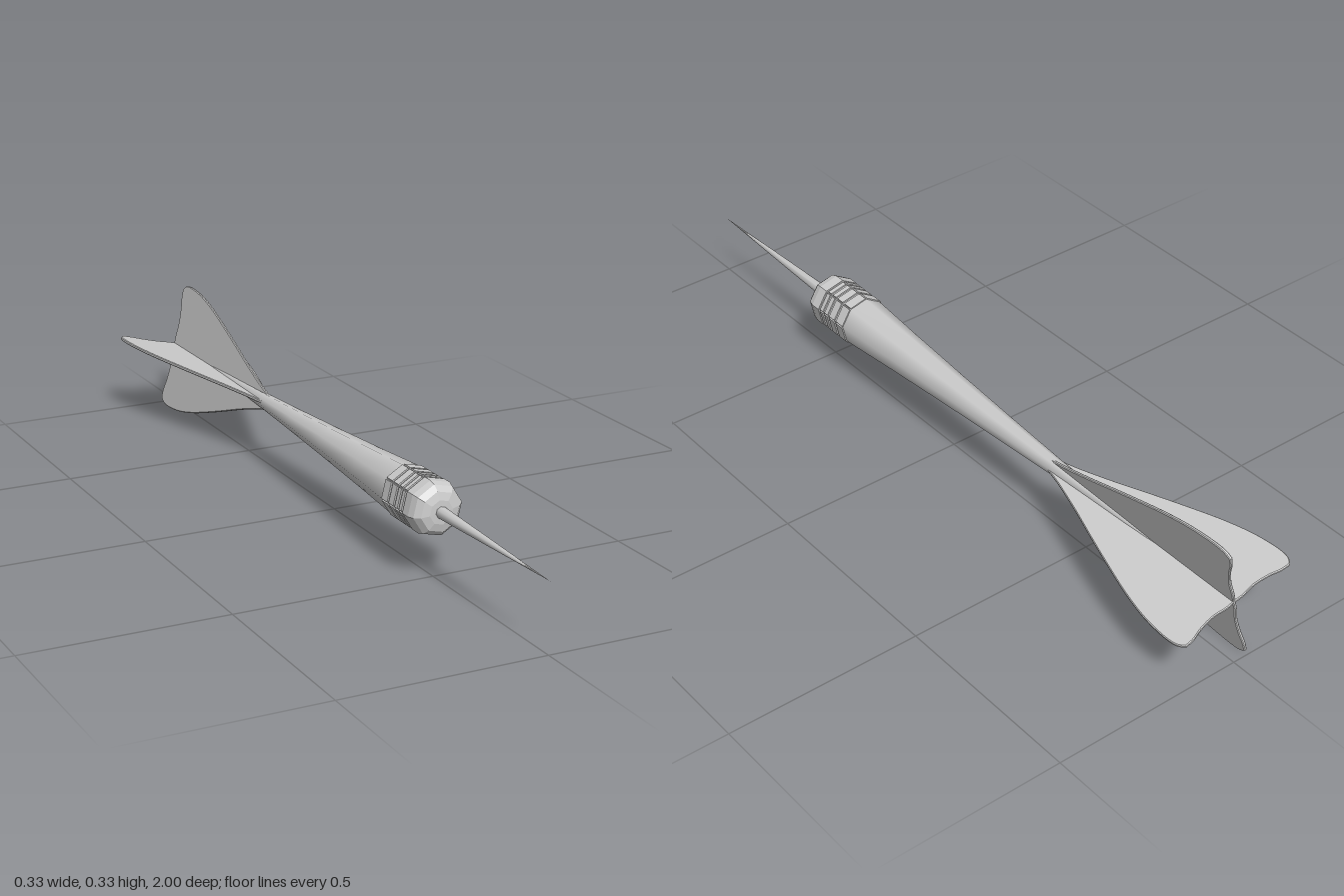
import * as THREE from 'three';

const AXIS_Y = 0.169, SIDES = 8;
const TWIST = THREE.MathUtils.degToRad(9);       // turn of the octagonal body
const FIN_TWIST = THREE.MathUtils.degToRad(-13.5);

const smooth = new THREE.MeshStandardMaterial({ color: 0xcccccc, side: THREE.DoubleSide });
const faceted = new THREE.MeshStandardMaterial({ color: 0xcccccc, flatShading: true, side: THREE.DoubleSide });

// Turned part along z from [radius, z] pairs, listed from back to front
function turned(name, profile, material) {
  const geometry = new THREE.LatheGeometry(profile.map(([r, z]) => new THREE.Vector2(r, z)), SIDES);
  geometry.rotateX(Math.PI / 2).rotateZ(TWIST);
  const mesh = new THREE.Mesh(geometry, material);
  mesh.name = name;
  return mesh;
}

export function createModel() {
  const dart = new THREE.Group();
  dart.name = 'dart';
  const body = new THREE.Group();
  body.name = 'body';
  body.position.y = AXIS_Y;
  dart.add(body);

  // Needle point
  body.add(turned('needle', [[0.015, 0.52], [0.009, 0.72], [0, 1]], smooth));

  // Grip: recessed core, rounded nose
  body.add(turned('gripCore', [[0, 0.375], [0.064, 0.375], [0.064, 0.5]], faceted));
  body.add(turned('nose', [[0.064, 0.474], [0.068, 0.474], [0.068, 0.5], [0.063, 0.517],
    [0.05, 0.53], [0.03, 0.535], [0, 0.536]], faceted));

  // Raised grip pads, separated by rings and lengthwise grooves
  const apothem = 0.068 * Math.cos(Math.PI / SIDES);
  const pads = new THREE.Group();
  pads.name = 'gripPads';
  for (const [z0, z1] of [[0.372, 0.4], [0.407, 0.429], [0.436, 0.449], [0.456, 0.468]]) {
    const geometry = new THREE.BoxGeometry(0.01, 0.047, z1 - z0);
    geometry.translate(apothem - 0.005, 0, (z0 + z1) / 2);
    for (let i = 0; i < SIDES; i++) {
      const pad = new THREE.Mesh(geometry, faceted);
      pad.name = 'gripPad';
      pad.rotation.z = TWIST + (i + 0.5) * Math.PI * 2 / SIDES;
      pads.add(pad);
    }
  }
  body.add(pads);

  // Tapering shaft, running out between the fins
  body.add(turned('shaft', [[0, -0.85], [0.008, -0.7], [0.015, -0.52], [0.021, -0.38],
    [0.03, -0.2], [0.041, 0], [0.053, 0.2], [0.065, 0.376]], smooth));

  // Four fins, drawn as (distance from axis, z)
  const outline = new THREE.Shape();
  outline.moveTo(0, -0.36);
  outline.lineTo(0.018, -0.37);
  outline.splineThru([[0.032, -0.43], [0.059, -0.52], [0.089, -0.61], [0.118, -0.7], [0.145, -0.79],
    [0.163, -0.87], [0.17, -0.94], [0.167, -0.98], [0.155, -0.999]].map(p => new THREE.Vector2(...p)));
  outline.splineThru([[0.13, -0.997], [0.1, -0.988], [0.06, -0.983], [0.025, -0.987], [0, -0.986]]
    .map(p => new THREE.Vector2(...p)));
  const finGeometry = new THREE.ExtrudeGeometry(outline, {
    depth: 0.004, bevelSize: 0.002, bevelThickness: 0.002, bevelOffset: -0.002, bevelSegments: 1, curveSegments: 24,
  });
  finGeometry.translate(0, 0, -0.002).rotateX(Math.PI / 2);
  for (let i = 0; i < 4; i++) {
    const fin = new THREE.Mesh(finGeometry, smooth);
    fin.name = 'fin';
    fin.rotation.z = FIN_TWIST + i * Math.PI / 2;
    body.add(fin);
  }
  return dart;
}
